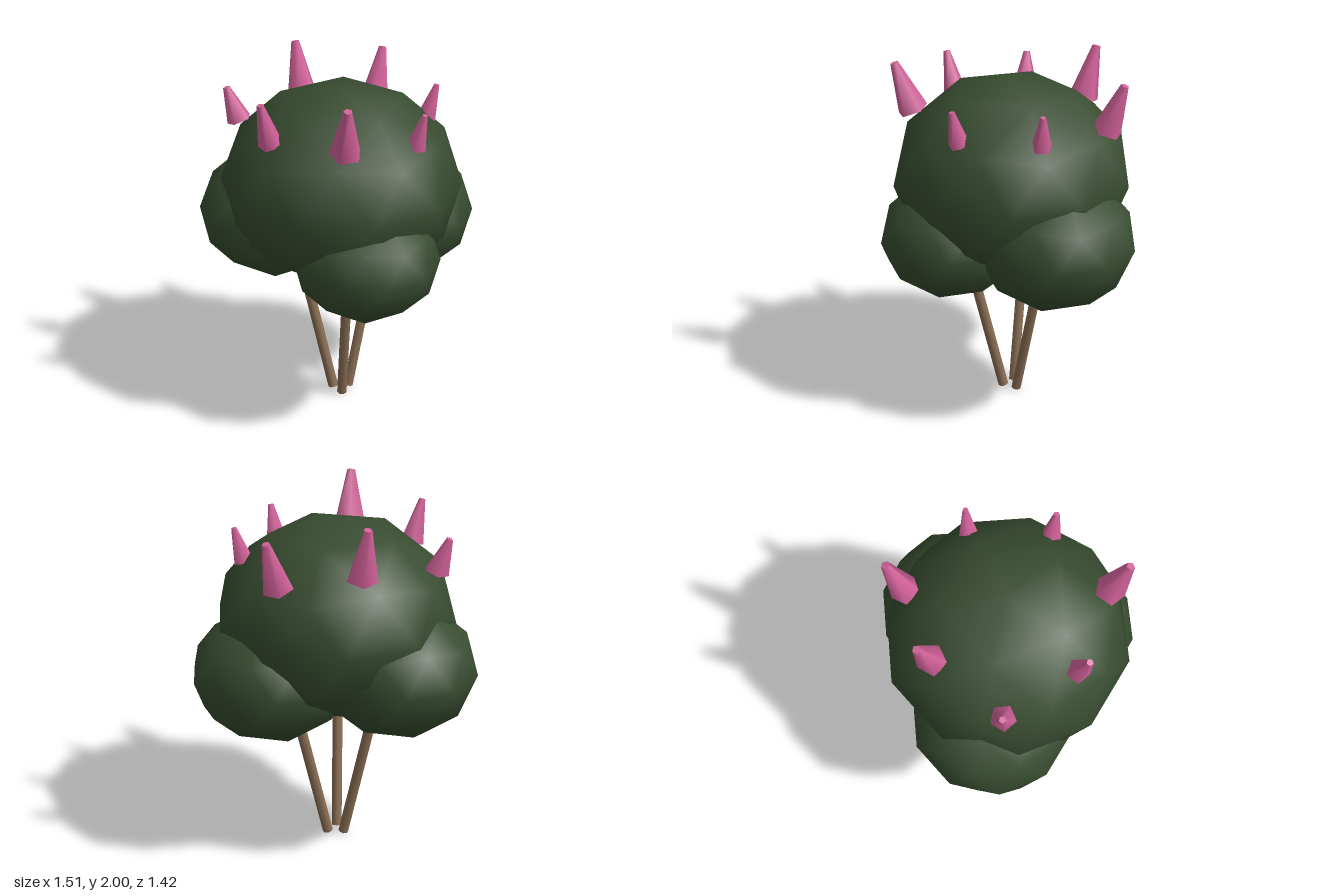
import * as THREE from 'three';

const foliage = new THREE.MeshStandardMaterial({ color: 0x384c30 });
foliage.name = 'dark green foliage';
const bark = new THREE.MeshStandardMaterial({ color: 0x8c7055 });
bark.name = 'brown bark';
const petal = new THREE.MeshStandardMaterial({ color: 0xd3629a });
petal.name = 'pink blossom';

const UP = new THREE.Vector3(0, 1, 0);

// Slightly flattened smooth icosphere with a corner at the top
function leafBall(name, radius, x, y, z) {
  const geo = new THREE.IcosahedronGeometry(1, 1);
  geo.rotateZ(-Math.atan(2 / (1 + Math.sqrt(5))));
  geo.scale(radius, radius * 0.842, radius);
  const mesh = new THREE.Mesh(geo, foliage);
  mesh.name = name;
  mesh.position.set(x, y, z);
  return mesh;
}

// Tapered cylinder between two points
function taper(name, material, from, to, r0, r1, sides) {
  const a = new THREE.Vector3(...from);
  const b = new THREE.Vector3(...to);
  const dir = b.clone().sub(a);
  const geo = new THREE.CylinderGeometry(r1, r0, dir.length(), sides, 1, false, Math.PI);
  const mesh = new THREE.Mesh(geo, material);
  mesh.name = name;
  mesh.position.copy(a).add(b).multiplyScalar(0.5);
  mesh.quaternion.setFromUnitVectors(UP, dir.normalize());
  return mesh;
}

export function createModel() {
  const tree = new THREE.Group();
  tree.name = 'floweringTree';

  // Foliage: one large crown over three smaller clumps
  tree.add(
    leafBall('crown', 0.665, -0.023, 1.35, -0.045),
    leafBall('frontClump', 0.4, 0.02, 1.04, 0.31),
    leafBall('rightClump', 0.44, -0.335, 1.12, -0.27),
    leafBall('leftClump', 0.443, 0.335, 1.08, -0.18),
  );

  // Three thin trunks spreading from the ground, one to each clump
  const trunks = [
    ['rightTrunk', [-0.065, 0.008, -0.075], [-0.245, 0.95, -0.205]],
    ['frontTrunk', [-0.032, 0.008, 0.0], [-0.055, 0.95, 0.22]],
    ['leftTrunk', [0.025, 0.008, -0.062], [0.235, 0.95, -0.155]],
  ];
  for (const [name, from, to] of trunks) tree.add(taper(name, bark, from, to, 0.029, 0.029, 8));

  // Blossom spikes around the crown: base, tip, base radius
  const spikes = [
    [[-0.14, 1.73, 0.475], [-0.155, 1.995, 0.565], 0.085],
    [[-0.12, 1.71, -0.495], [-0.14, 1.995, -0.57], 0.085],
    [[0.305, 1.66, -0.472], [0.365, 1.925, -0.54], 0.083],
    [[0.47, 1.67, -0.05], [0.52, 1.855, -0.042], 0.056],
    [[0.283, 1.665, 0.335], [0.31, 1.855, 0.378], 0.058],
    [[-0.455, 1.69, 0.155], [-0.512, 1.925, 0.185], 0.068],
    [[-0.53, 1.67, -0.285], [-0.59, 1.855, -0.313], 0.07],
  ];
  const blossoms = new THREE.Group();
  blossoms.name = 'blossoms';
  for (const [base, tip, r] of spikes) {
    blossoms.add(taper('blossomSpike', petal, base, tip, r, r * 0.27, 5));
  }
  tree.add(blossoms);

  return tree;
}
